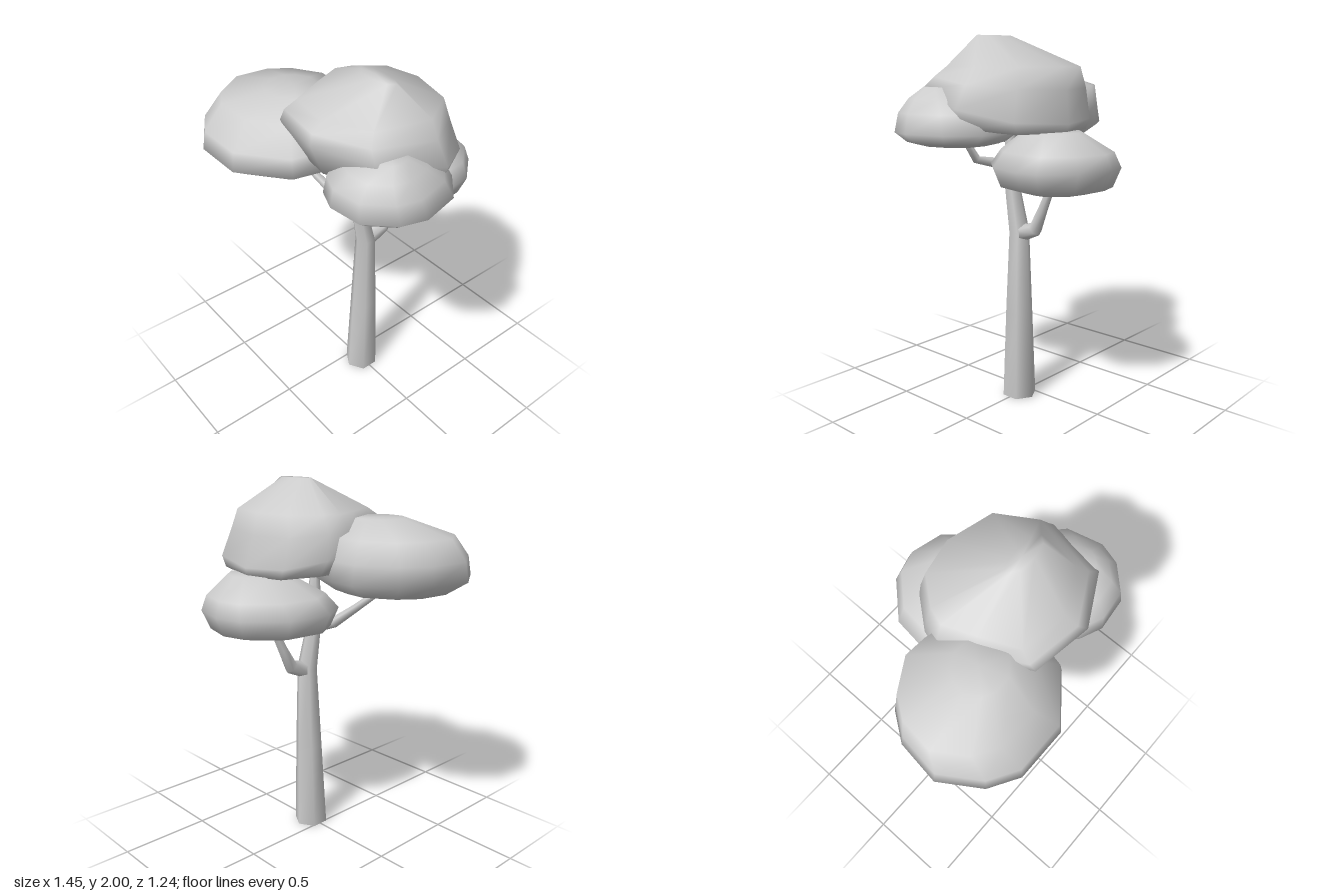
import * as THREE from 'three';
import { toCreasedNormals } from 'three/addons/utils/BufferGeometryUtils.js';

const leafMaterial = new THREE.MeshStandardMaterial({ color: 0xcccccc });
const barkMaterial = new THREE.MeshStandardMaterial({ color: 0xcccccc, side: THREE.DoubleSide });

// Skins a list of rings (counter-clockwise seen from the end); the start may stay open.
function loft(rings, openStart) {
  const n = rings[0].length, last = rings.length - 1;
  const points = rings.flat(), index = [];
  const middle = ring => ring.reduce((sum, p) => sum.add(p), new THREE.Vector3()).divideScalar(n);
  const start = points.push(middle(rings[0])) - 1;
  const end = points.push(middle(rings[last])) - 1;
  for (let i = 0; i < n; i++) {
    const j = (i + 1) % n;
    for (let r = 0; r < last; r++) {
      const a = r * n + i, b = r * n + j;
      index.push(a, b, b + n, a, b + n, a + n);
    }
    if (!openStart) index.push(start, j, i);
    index.push(end, last * n + i, last * n + j);
  }
  const geometry = new THREE.BufferGeometry().setFromPoints(points);
  geometry.setIndex(index);
  geometry.computeVertexNormals();
  return geometry;
}

function addMesh(group, name, geometry, material) {
  const mesh = new THREE.Mesh(geometry, material);
  mesh.name = name;
  group.add(mesh);
}

// Tapered six-sided limb through stations [x, y, z, radius].
function limb(stations) {
  const p = stations.map(s => new THREE.Vector3(s[0], s[1], s[2]));
  const rings = stations.map((s, k) => {
    const dir = p[Math.min(k + 1, p.length - 1)].clone().sub(p[Math.max(k - 1, 0)]).normalize();
    if (s[1] === 0) dir.set(0, 1, 0); // level foot
    const turn = new THREE.Quaternion().setFromUnitVectors(new THREE.Vector3(0, 1, 0), dir);
    return Array.from({ length: 6 }, (_, i) => {
      const a = i * Math.PI / 3;
      return new THREE.Vector3(Math.sin(a), 0, Math.cos(a)).multiplyScalar(s[3]).applyQuaternion(turn).add(p[k]);
    });
  });
  return toCreasedNormals(loft(rings, true), 1.2);
}

// Leaf clump: plan outline [x, z] repeated at levels [y, scale, dx, dz, tilt along z, scale in z].
function clump([cx, cz], outline, levels) {
  return loft(levels.map(([y, s, dx = 0, dz = 0, tilt = 0, sz = s]) => outline.map(([x, z]) => {
    const oz = (z - cz) * sz;
    return new THREE.Vector3(cx + (x - cx) * s + dx, y + oz * tilt, cz + oz + dz);
  })), false);
}

export function createModel() {
  const tree = new THREE.Group();
  tree.name = 'tree';

  // Trunk and branches
  const limbs = {
    trunk: [[0.075, 0, 0, 0.096], [0.083, 0.5, -0.007, 0.077], [0.087, 0.96, -0.013, 0.057],
      [0.086, 1.22, 0.04, 0.042], [0.088, 1.42, 0.045, 0.034], [0.09, 1.56, 0.055, 0.02]],
    backBranch: [[0.087, 0.95, -0.02, 0.048], [0.09, 0.99, -0.13, 0.041], [0.095, 1.1, -0.185, 0.029], [0.1, 1.27, -0.265, 0.02]],
    rightBranch: [[0.085, 1.19, 0.04, 0.034], [-0.02, 1.225, 0.09, 0.03], [-0.14, 1.32, 0.14, 0.022], [-0.31, 1.46, 0.2, 0.017]],
    leftBranch: [[0.088, 1.31, 0.05, 0.032], [0.2, 1.345, 0.08, 0.027], [0.29, 1.365, 0.105, 0.023], [0.37, 1.5, 0.13, 0.016]],
  };
  for (const [name, stations] of Object.entries(limbs)) addMesh(tree, name, limb(stations), barkMaterial);

  // Foliage
  addMesh(tree, 'rightFoliage', clump([-0.31, 0.23],
    [[0.12, 0.22], [0.06, 0.02], [-0.08, -0.11], [-0.25, -0.15], [-0.4, -0.16], [-0.6, -0.04],
      [-0.7, 0.1], [-0.73, 0.33], [-0.6, 0.53], [-0.45, 0.62], [-0.17, 0.62], [0.07, 0.43]],
    [[1.42, 0.45, 0.06], [1.445, 0.73], [1.52, 1], [1.62, 0.96], [1.735, 0.78, -0.03, -0.045], [1.815, 0.33, 0.06, -0.04]]), leafMaterial);
  addMesh(tree, 'topFoliage', clump([0.16, 0.02],
    [[0.6, -0.07], [0.45, -0.31], [0.14, -0.39], [-0.1, -0.34], [-0.24, -0.17], [-0.28, -0.06],
      [-0.2, 0.14], [-0.09, 0.38], [0.22, 0.43], [0.5, 0.28]],
    [[1.53, 0.6, 0, -0.1], [1.56, 0.9, 0, -0.03, 0.1], [1.67, 1, 0, 0, 0.25],
      [1.77, 0.91, -0.03, 0, 0.1], [1.845, 0.8, -0.035, -0.02], [2, 0.28, 0.06, 0.02, 0, 0.1]]), leafMaterial);
  addMesh(tree, 'leftFoliage', clump([0.42, 0.13],
    [[0.72, 0.16], [0.67, -0.05], [0.53, -0.18], [0.36, -0.2], [0.2, -0.12], [0.11, 0.05],
      [0.12, 0.22], [0.25, 0.39], [0.37, 0.44], [0.55, 0.42], [0.68, 0.29]],
    [[1.455, 0.55], [1.475, 0.8], [1.525, 1], [1.62, 0.89, 0, 0.02], [1.69, 0.62, 0.02, 0.04], [1.745, 0.25, 0.06, 0.05]]), leafMaterial);
  addMesh(tree, 'backFoliage', clump([0.09, -0.27],
    [[0.43, -0.3], [0.42, -0.42], [0.29, -0.57], [0.09, -0.62], [-0.05, -0.58], [-0.22, -0.4],
      [-0.25, -0.16], [-0.15, 0], [0.05, 0.07], [0.25, 0.04], [0.38, -0.1]],
    [[1.215, 0.52], [1.25, 0.88], [1.35, 1], [1.43, 0.86, 0.01, -0.02], [1.53, 0.44, 0.06, -0.03]]), leafMaterial);

  return tree;
}
